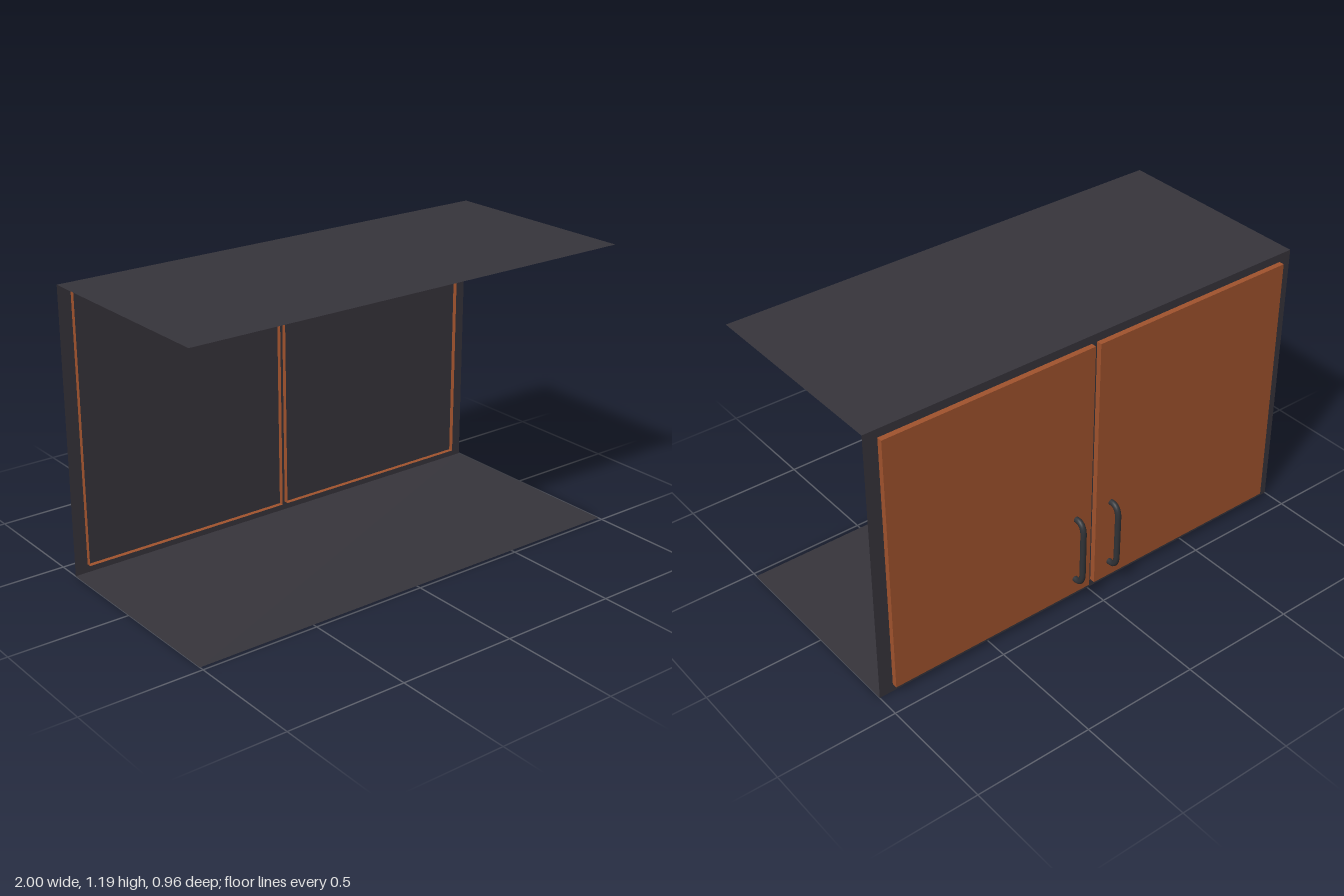
import * as THREE from 'three';

export function createModel() {
  const model = new THREE.Group();
  model.name = 'wallCabinet';
  const charcoal = new THREE.MeshStandardMaterial({ name: 'charcoal', color: 0x36343b, side: THREE.DoubleSide });
  const wood = new THREE.MeshStandardMaterial({ name: 'reddishWood', color: 0xa0522d, side: THREE.DoubleSide });
  const darkMetal = new THREE.MeshStandardMaterial({ name: 'darkMetal', color: 0x303236 });

  const H = 1.19, backZ = -0.4, frontZ = 0.48;
  const doorIn = -0.38, doorOut = -0.423, doorLow = 0.035, doorHigh = 1.155;

  // A thin sheet, turned about x and y
  function sheet(name, parent, mat, w, h, pos, rx = 0, ry = 0) {
    const m = new THREE.Mesh(new THREE.PlaneGeometry(w, h), mat);
    m.name = name;
    m.position.set(...pos);
    m.rotation.set(rx, ry, 0);
    parent.add(m);
  }

  // Carcass: top, bottom and the panel behind the doors
  const depth = frontZ - backZ, midZ = (frontZ + backZ) / 2;
  sheet('topPanel', model, charcoal, 2, depth, [0, H, midZ], -Math.PI / 2);
  sheet('bottomPanel', model, charcoal, 2, depth, [0, 0, midZ], -Math.PI / 2);
  sheet('doorBackingPanel', model, charcoal, 2, H, [0, H / 2, backZ]);

  // Doors: shallow trays, open towards the inside of the cabinet
  function door(name, x0, x1) {
    const g = new THREE.Group();
    g.name = name;
    const w = x1 - x0, h = doorHigh - doorLow, t = doorIn - doorOut;
    const cx = (x0 + x1) / 2, cy = (doorLow + doorHigh) / 2, cz = (doorIn + doorOut) / 2;
    sheet('doorFace', g, wood, w, h, [cx, cy, doorOut], 0, Math.PI);
    for (const x of [x0, x1]) sheet('doorSideEdge', g, wood, t, h, [x, cy, cz], 0, x === x1 ? Math.PI / 2 : -Math.PI / 2);
    for (const y of [doorLow, doorHigh]) sheet('doorEndEdge', g, wood, w, t, [cx, y, cz], y === doorHigh ? -Math.PI / 2 : Math.PI / 2);
    model.add(g);
  }
  door('rightDoor', -0.945, -0.015);
  door('leftDoor', 0.01, 0.94);

  // Handles: bent round bars near the meeting edges
  function handle(name, x) {
    const v = (y, z) => new THREE.Vector3(x, y, z);
    const path = new THREE.CurvePath();
    const zRoot = doorOut + 0.003, zBar = -0.468, lo = 0.107, hi = 0.403, bend = 0.055;
    path.add(new THREE.LineCurve3(v(lo, zRoot), v(lo, -0.432)));
    path.add(new THREE.QuadraticBezierCurve3(v(lo, -0.432), v(lo, zBar), v(lo + bend, zBar)));
    path.add(new THREE.LineCurve3(v(lo + bend, zBar), v(hi - bend, zBar)));
    path.add(new THREE.QuadraticBezierCurve3(v(hi - bend, zBar), v(hi, zBar), v(hi, -0.432)));
    path.add(new THREE.LineCurve3(v(hi, -0.432), v(hi, zRoot)));
    const m = new THREE.Mesh(new THREE.TubeGeometry(path, 48, 0.0125, 12), darkMetal);
    m.name = name;
    model.add(m);
  }
  handle('rightHandle', -0.09);
  handle('leftHandle', 0.085);

  return model;
}
